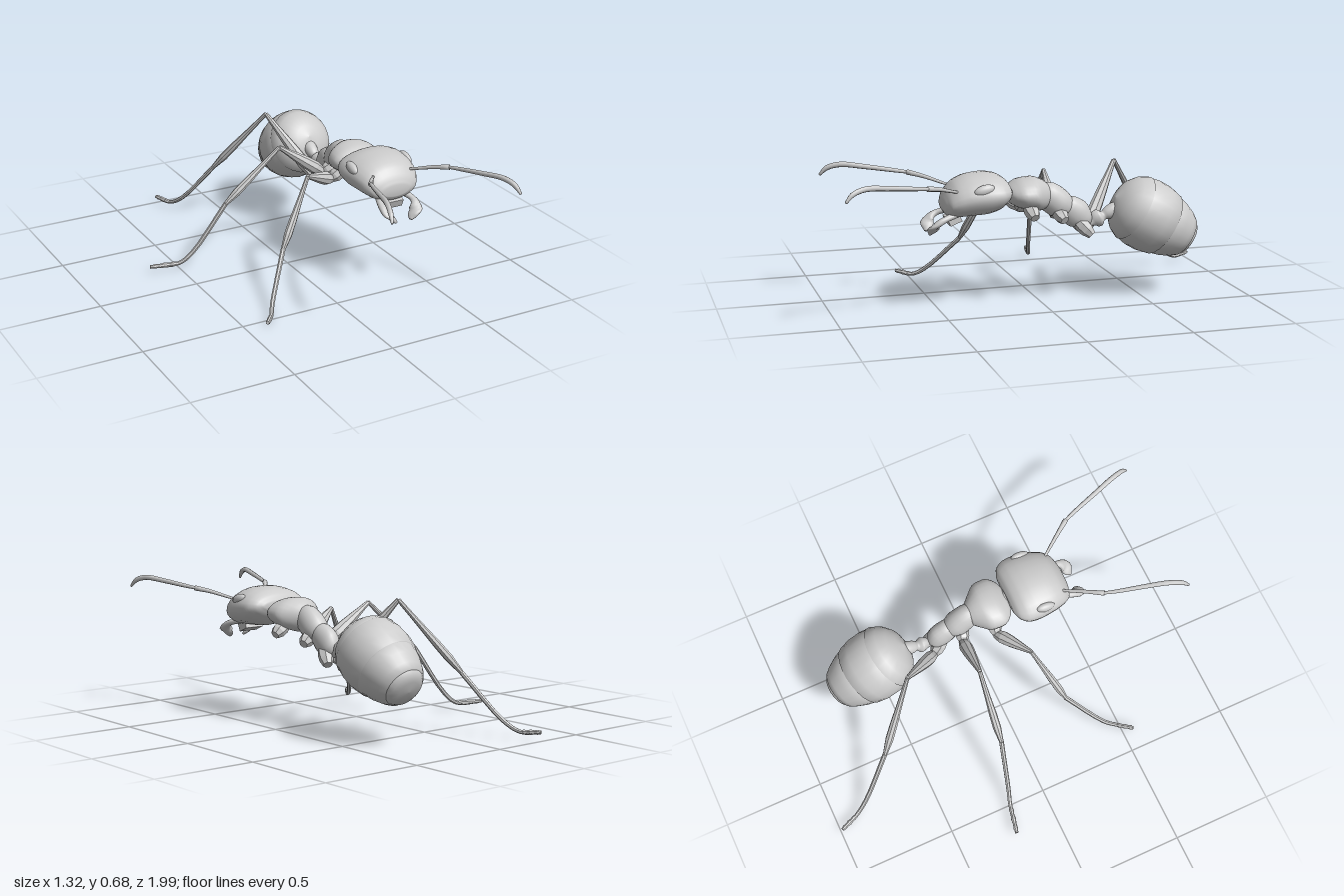
import * as THREE from 'three';

const CX = 0.325; // body midline
const smooth = new THREE.MeshStandardMaterial({ color: 0xcccccc, side: THREE.DoubleSide });
const faceted = new THREE.MeshStandardMaterial({ color: 0xcccccc, flatShading: true, side: THREE.DoubleSide });

// Closed skin through elliptical sections [x, y, z, halfWidth, halfHeight], rings set across the path or a fixed axis
function loft(sections, { sides = 20, steps = 0, axis = null } = {}) {
  const centres = new THREE.CatmullRomCurve3(sections.map(s => new THREE.Vector3(s[0], s[1], s[2])));
  const radii = new THREE.CatmullRomCurve3(sections.map(s => new THREE.Vector3(s[3], s[4] ?? s[3], 0)));
  const rings = steps || sections.length - 1;
  const pos = [], idx = [], up = new THREE.Vector3(0, 1, 0);
  for (let i = 0; i <= rings; i++) {
    const u = i / rings, c = centres.getPoint(u), r = radii.getPoint(u);
    const t = axis ?? centres.getTangent(u);
    const a = new THREE.Vector3().crossVectors(up, t).normalize();
    const b = new THREE.Vector3().crossVectors(t, a);
    for (let j = 0; j < sides; j++) {
      const q = j / sides * Math.PI * 2;
      const p = c.clone().addScaledVector(a, Math.cos(q) * r.x).addScaledVector(b, Math.sin(q) * r.y);
      pos.push(p.x, p.y, p.z);
    }
  }
  const first = (rings + 1) * sides, last = first + 1;
  for (const u of [0, 1]) pos.push(...centres.getPoint(u).toArray());
  for (let j = 0; j < sides; j++) {
    const k = (j + 1) % sides, top = rings * sides;
    for (let i = 0; i < rings; i++) {
      const p = i * sides, q = p + sides;
      idx.push(p + j, p + k, q + k, p + j, q + k, q + j);
    }
    idx.push(first, k, j, last, top + j, top + k);
  }
  const g = new THREE.BufferGeometry();
  g.setAttribute('position', new THREE.Float32BufferAttribute(pos, 3));
  g.setIndex(idx);
  g.computeVertexNormals();
  return g;
}

function add(parent, name, geometry, material = smooth) {
  const mesh = new THREE.Mesh(geometry, material);
  mesh.name = name;
  parent.add(mesh);
  return mesh;
}

// Body sections given as [z, bottom, top, halfWidth]
function bodyPart(parent, name, rows, steps = 16) {
  const sections = rows.map(([z, lo, hi, w]) => [CX, (lo + hi) / 2, z, w, (hi - lo) / 2]);
  return add(parent, name, loft(sections, { sides: 24, steps, axis: new THREE.Vector3(0, 0, 1) }));
}

const mirror = ([x, ...rest]) => [2 * CX - x, ...rest];
const bothSides = fn => { fn('right', s => s); fn('left', s => s.map(mirror)); };

// Leg joints: coxa root, coxa end, knee, shin end, then the foot points
const legs = {
  front: [[0.27, 0.49, 0.08], [0.205, 0.445, 0.07], [0.02, 0.53, 0.17], [-0.17, 0.23, 0.275],
    [-0.31, 0.045, 0.43], [-0.345, 0.015, 0.485], [-0.4, 0.025, 0.555]],
  middle: [[0.31, 0.45, -0.07], [0.25, 0.415, -0.09], [0.013, 0.585, -0.105], [-0.275, 0.335, -0.125],
    [-0.445, 0.09, -0.165], [-0.51, 0.04, -0.185], [-0.65, 0.038, -0.215]],
  hind: [[0.31, 0.4, -0.17], [0.28, 0.33, -0.235], [0.11, 0.635, -0.435], [-0.085, 0.3, -0.66],
    [-0.195, 0.085, -0.825], [-0.235, 0.038, -0.9], [-0.275, 0.045, -0.99]],
};

// Straight limb piece with radii spread evenly from a to b
function limb(parent, name, a, b, radii, sides = 8) {
  const A = new THREE.Vector3(...a), B = new THREE.Vector3(...b);
  const sections = radii.map((r, i) => [...A.clone().lerp(B, i / (radii.length - 1)).toArray(), r]);
  return add(parent, name, loft(sections, { sides }), faceted);
}

function buildLeg(name, [root, hip, knee, shin, ankle, heel, toe]) {
  const leg = new THREE.Group();
  leg.name = name + 'RightLeg';
  limb(leg, 'femur', hip, knee, [0.022, 0.033, 0.03, 0.024, 0.017, 0.011]);
  limb(leg, 'tibia', knee, shin, [0.01, 0.012, 0.015, 0.019, 0.02, 0.011]);
  add(leg, 'tarsus', loft([[...shin, 0.012], [...ankle, 0.011], [...heel, 0.01], [...toe, 0.009]],
    { sides: 7, steps: 12 }), faceted);
  limb(leg, 'footPad', heel, toe, [0.007, 0.012, 0.009, 0.013, 0.009, 0.012, 0.006], 7);
  return leg;
}

export function createModel() {
  const ant = new THREE.Group();
  ant.name = 'ant';

  // Head
  bodyPart(ant, 'head', [[0.172, 0.55, 0.59, 0.1], [0.19, 0.515, 0.622, 0.145], [0.23, 0.478, 0.647, 0.172],
    [0.29, 0.46, 0.656, 0.176], [0.37, 0.455, 0.647, 0.165], [0.43, 0.452, 0.62, 0.145],
    [0.465, 0.46, 0.58, 0.12], [0.483, 0.485, 0.54, 0.07]], 24);
  const mouth = add(ant, 'mouthPlate', new THREE.BoxGeometry(0.1, 0.04, 0.06), faceted);
  mouth.position.set(CX, 0.445, 0.435);
  mouth.rotation.x = 0.4;

  bothSides((side, flip) => {
    // Eye
    const [[ex, ey, ez]] = flip([[0.178, 0.595, 0.32]]);
    const eye = add(ant, side + 'Eye', new THREE.SphereGeometry(1, 16, 12));
    eye.scale.set(0.022, 0.026, 0.05);
    eye.position.set(ex, ey, ez);
    eye.rotation.x = 0.25;

    // Antenna: slim stalk, then a thicker whip
    add(ant, side + 'AntennaStalk', loft(flip([[0.25, 0.575, 0.4, 0.006], [0.21, 0.592, 0.455, 0.007],
      [0.155, 0.618, 0.535, 0.01], [0.11, 0.632, 0.6, 0.013]]), { sides: 8, steps: 8 }));
    add(ant, side + 'AntennaWhip', loft(flip([[0.112, 0.632, 0.598, 0.008], [0.09, 0.64, 0.66, 0.01],
      [0.05, 0.657, 0.79, 0.012], [0.015, 0.667, 0.9, 0.013], [-0.005, 0.65, 0.96, 0.012],
      [-0.016, 0.617, 0.993, 0.006]]), { sides: 8, steps: 20 }));

    // Mandible
    add(ant, side + 'Mandible', loft(flip([[0.26, 0.475, 0.43, 0.02, 0.015], [0.238, 0.46, 0.485, 0.016, 0.014],
      [0.238, 0.445, 0.515, 0.022, 0.016], [0.25, 0.422, 0.537, 0.033, 0.014],
      [0.272, 0.4, 0.545, 0.026, 0.012], [0.285, 0.383, 0.553, 0.008, 0.006]]), { sides: 12, steps: 14 }));

    // Coxae on both sides
    for (const [name, [root, hip]] of Object.entries(legs)) {
      const [a, b] = flip([root, hip]);
      limb(ant, `${name}${side === 'left' ? 'Left' : 'Right'}Coxa`, a, b, [0.03, 0.036, 0.034, 0.022], 7);
    }
  });

  // Thorax and waist
  bodyPart(ant, 'neck', [[0.12, 0.5, 0.58, 0.05], [0.16, 0.515, 0.58, 0.04], [0.21, 0.52, 0.58, 0.045]], 6);
  bodyPart(ant, 'frontThorax', [[0.178, 0.525, 0.565, 0.05], [0.16, 0.5, 0.585, 0.095], [0.115, 0.475, 0.612, 0.13],
    [0.055, 0.462, 0.62, 0.127], [0.005, 0.458, 0.605, 0.085], [-0.03, 0.475, 0.58, 0.05]].reverse());
  const segment = (name, rows, steps = 12) => add(ant, name, loft(rows.map(r => [CX, ...r]), { sides: 20, steps }));
  segment('middleThorax', [[0.525, 0.01, 0.045, 0.05], [0.52, -0.03, 0.058, 0.07], [0.485, -0.08, 0.062, 0.07],
    [0.455, -0.12, 0.05, 0.055], [0.44, -0.14, 0.02, 0.025]]);
  segment('rearThorax', [[0.485, -0.1, 0.03, 0.035], [0.465, -0.125, 0.048, 0.06], [0.43, -0.17, 0.052, 0.07],
    [0.395, -0.21, 0.045, 0.05], [0.375, -0.232, 0.02, 0.025]]);
  segment('waist', [[0.385, -0.2, 0.025], [0.382, -0.24, 0.02], [0.395, -0.265, 0.03, 0.04], [0.402, -0.285, 0.036, 0.042],
    [0.41, -0.305, 0.022], [0.42, -0.325, 0.03], [0.435, -0.355, 0.034], [0.45, -0.39, 0.03]], 21);

  // Abdomen: overlapping plates turned around a sloping axis, as [distance, radius]
  const abdomen = new THREE.Group();
  abdomen.name = 'abdomen';
  abdomen.position.set(CX, 0.49, -0.377);
  abdomen.quaternion.setFromUnitVectors(new THREE.Vector3(0, 1, 0), new THREE.Vector3(0, -0.223, -0.373).normalize());
  const plates = [
    [[-0.012, 0], [0, 0.06], [0.02, 0.108], [0.055, 0.145], [0.1, 0.168], [0.1, 0.15]],
    [[0.085, 0.15], [0.1, 0.164], [0.15, 0.174], [0.21, 0.174], [0.27, 0.162], [0.27, 0.14]],
    [[0.25, 0.145], [0.27, 0.157], [0.32, 0.145], [0.37, 0.124], [0.4, 0.106], [0.4, 0.09]],
    [[0.385, 0.09], [0.4, 0.1], [0.42, 0.085], [0.433, 0.055], [0.437, 0]],
  ];
  plates.forEach((p, i) => add(abdomen, 'abdomenPlate' + (i + 1),
    new THREE.LatheGeometry(p.map(([t, r]) => new THREE.Vector2(r, t)), 24)));
  ant.add(abdomen);

  // Legs
  for (const [name, joints] of Object.entries(legs)) ant.add(buildLeg(name, joints));

  return ant;
}
